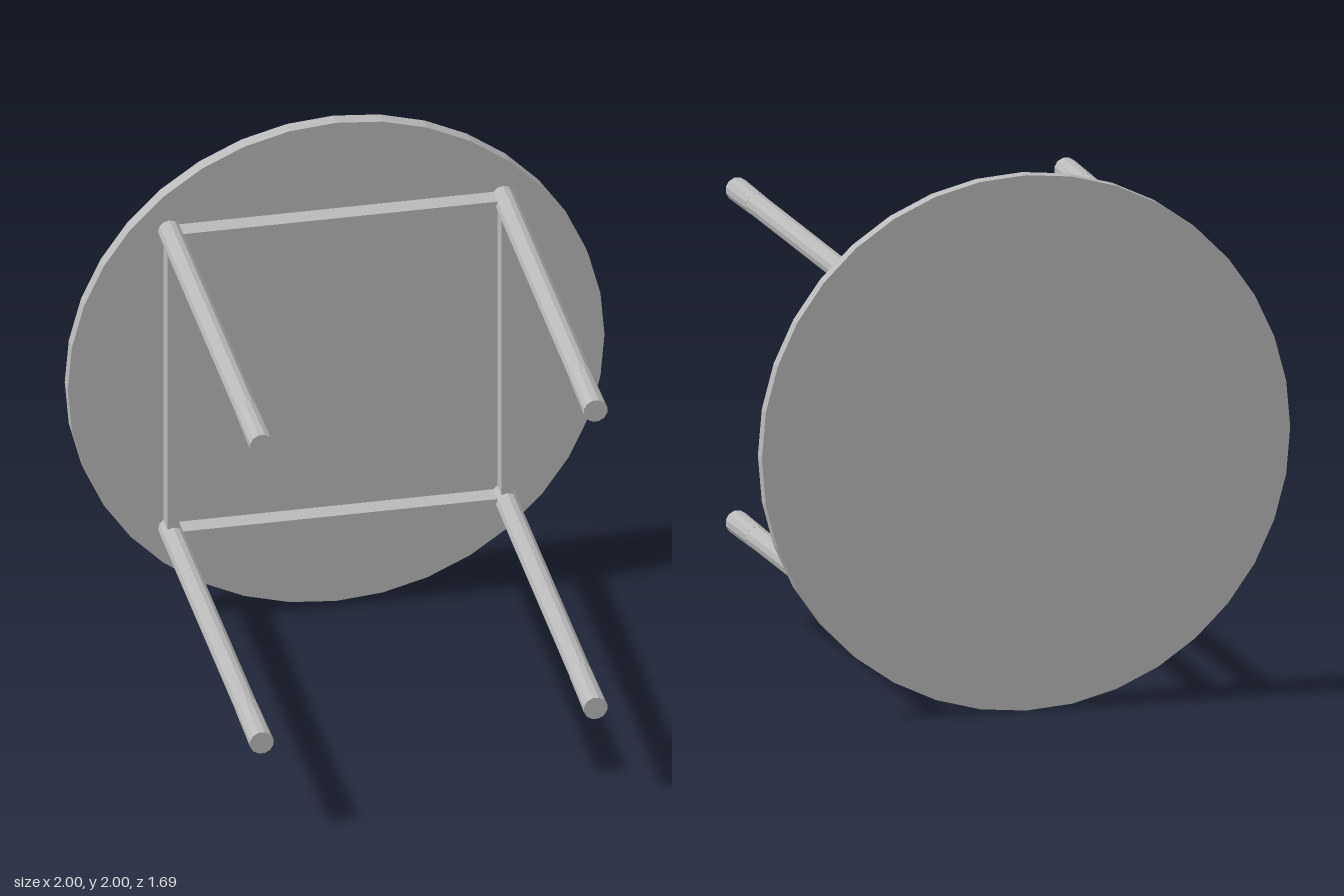
import * as THREE from 'three';

export function createModel() {
  const table = new THREE.Group();
  table.name = 'roundTable';

  const grey = new THREE.MeshStandardMaterial({ color: 0xb9b9b9, flatShading: true });
  grey.name = 'grey';

  const add = (name, geometry, x, y, z) => {
    const mesh = new THREE.Mesh(geometry, grey);
    mesh.name = name;
    mesh.position.set(x, y, z);
    table.add(mesh);
    return mesh;
  };

  // Cylinder lying along z, from zBack to zFront
  const rod = (rFront, rBack, zBack, zFront, sides, turn = 0) =>
    new THREE.CylinderGeometry(rFront, rBack, zFront - zBack, sides)
      .rotateY(turn)
      .rotateX(Math.PI / 2)
      .translate(0, 0, (zBack + zFront) / 2);

  const midY = 1;
  const reach = 0.622; // leg offset from the table's axis
  const topFace = -0.79; // underside of the table top

  // Table top, resting on its rim
  add('tableTop', rod(1, 1, -0.845, topFace, 36), 0, midY, 0);

  // Legs, each with a slightly wider faceted foot sleeve
  const legGeometry = rod(0.042, 0.042, topFace, 0.6, 12);
  const footGeometry = rod(0.045, 0.0425, 0.575, 0.845, 12, Math.PI / 12);
  for (const sx of [-1, 1]) {
    for (const sy of [-1, 1]) {
      add('leg', legGeometry, sx * reach, midY + sy * reach, 0);
      add('foot', footGeometry, sx * reach, midY + sy * reach, 0);
    }
  }

  // Apron rails joining the legs
  const depth = 0.075, width = 0.043, length = 2 * reach - 0.04;
  for (const s of [-1, 1]) {
    add('crossRail', new THREE.BoxGeometry(length, width, depth), 0, midY + s * reach, topFace + depth / 2);
    add('sideRail', new THREE.BoxGeometry(width, length, depth), s * reach, midY, topFace + depth / 2);
  }

  return table;
}
